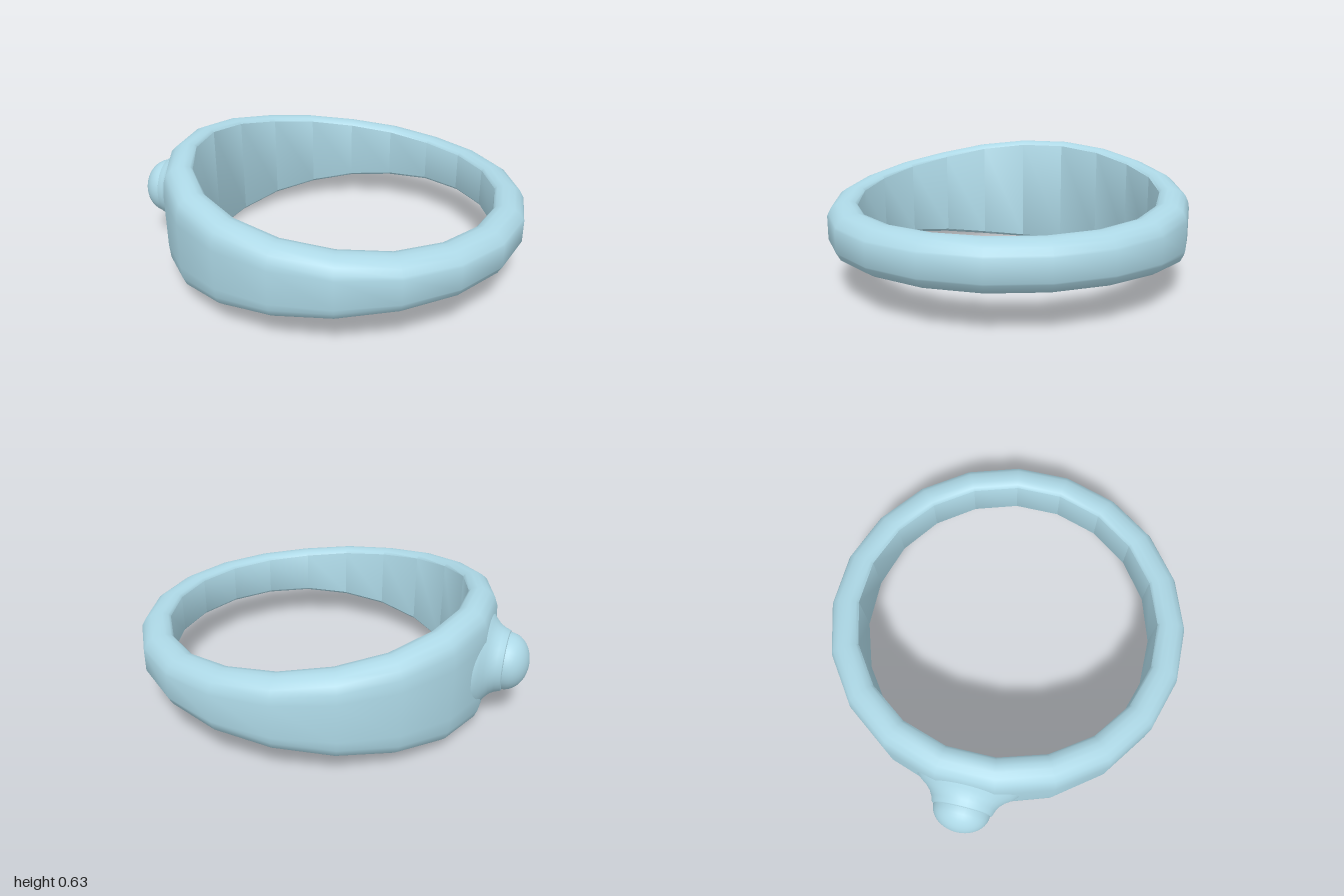
import * as THREE from 'three';
import { toCreasedNormals } from 'three/addons/utils/BufferGeometryUtils.js';

const CENTER = new THREE.Vector3(0.06, 0.315, 0);
const SIDES = 20;
const STONE_ANGLE = THREE.MathUtils.degToRad(157.9); // from +x towards +z
// Half height of the band at each corner, from the stone round to the far side
const HALF_HEIGHTS = [0.315, 0.291, 0.252, 0.217, 0.183, 0.157, 0.134, 0.125, 0.122, 0.122];

// Cross-section [radius, y], up the inner wall and down the rounded outside
function bandSection(h) {
  const drop = 0.04 + 0.15 * h;
  const upper = [
    [0.787, h - 0.022], [0.80, h - 0.008], [0.83, h], [0.86, h - 0.003],
    [0.892, h - 0.2 * drop], [0.92, h - 0.5 * drop], [0.936, h - drop], [0.942, 0.45 * h],
  ];
  const lower = upper.map(([r, y]) => [r, -y]).reverse();
  return [...upper, ...lower];
}

function bandGeometry() {
  const positions = [], index = [];
  let n = 0;
  for (let i = 0; i < SIDES; i++) {
    const angle = STONE_ANGLE + ((i + 0.5) / SIDES) * Math.PI * 2;
    const section = bandSection(HALF_HEIGHTS[Math.min(i, SIDES - 1 - i)]);
    n = section.length;
    for (const [r, y] of section) positions.push(r * Math.cos(angle), y, r * Math.sin(angle));
  }
  for (let i = 0; i < SIDES; i++) {
    for (let j = 0; j < n; j++) {
      const i2 = (i + 1) % SIDES, j2 = (j + 1) % n;
      const a = i * n + j, b = i2 * n + j, c = i2 * n + j2, d = i * n + j2;
      index.push(a, b, d, b, c, d);
    }
  }
  const g = new THREE.BufferGeometry();
  g.setAttribute('position', new THREE.Float32BufferAttribute(positions, 3));
  g.setIndex(index);
  return toCreasedNormals(g, 0.75);
}

const lathe = (points) =>
  new THREE.LatheGeometry(points.map(([r, y]) => new THREE.Vector2(r, y)), 32);

export function createModel() {
  const model = new THREE.Group();
  model.name = 'ring';
  const material = new THREE.MeshStandardMaterial({ color: 0xadd8e6 });
  const add = (parent, name, geometry) => {
    const mesh = new THREE.Mesh(geometry, material);
    mesh.name = name;
    parent.add(mesh);
    return mesh;
  };

  // Tapering band
  add(model, 'band', bandGeometry()).position.copy(CENTER);

  // Setting, its axis pointing outwards from the widest part of the band
  const setting = new THREE.Group();
  setting.name = 'setting';
  setting.position.copy(CENTER);
  setting.quaternion.setFromUnitVectors(
    new THREE.Vector3(0, 1, 0),
    new THREE.Vector3(Math.cos(STONE_ANGLE), 0, Math.sin(STONE_ANGLE)),
  );
  model.add(setting);

  // Flared mount
  add(setting, 'mount', lathe([
    [0.275, 0.865], [0.262, 0.895], [0.235, 0.918], [0.205, 0.938],
    [0.18, 0.962], [0.165, 0.988], [0.155, 1.015], [0.145, 1.02], [0, 1.02],
  ]));

  // Domed stone
  const dome = [];
  for (let i = 0; i <= 10; i++) {
    const t = (i / 10) * Math.PI / 2;
    dome.push([i === 10 ? 0 : 0.146 * Math.cos(t), 1.018 + 0.112 * Math.sin(t)]);
  }
  add(setting, 'stone', lathe(dome));

  return model;
}
